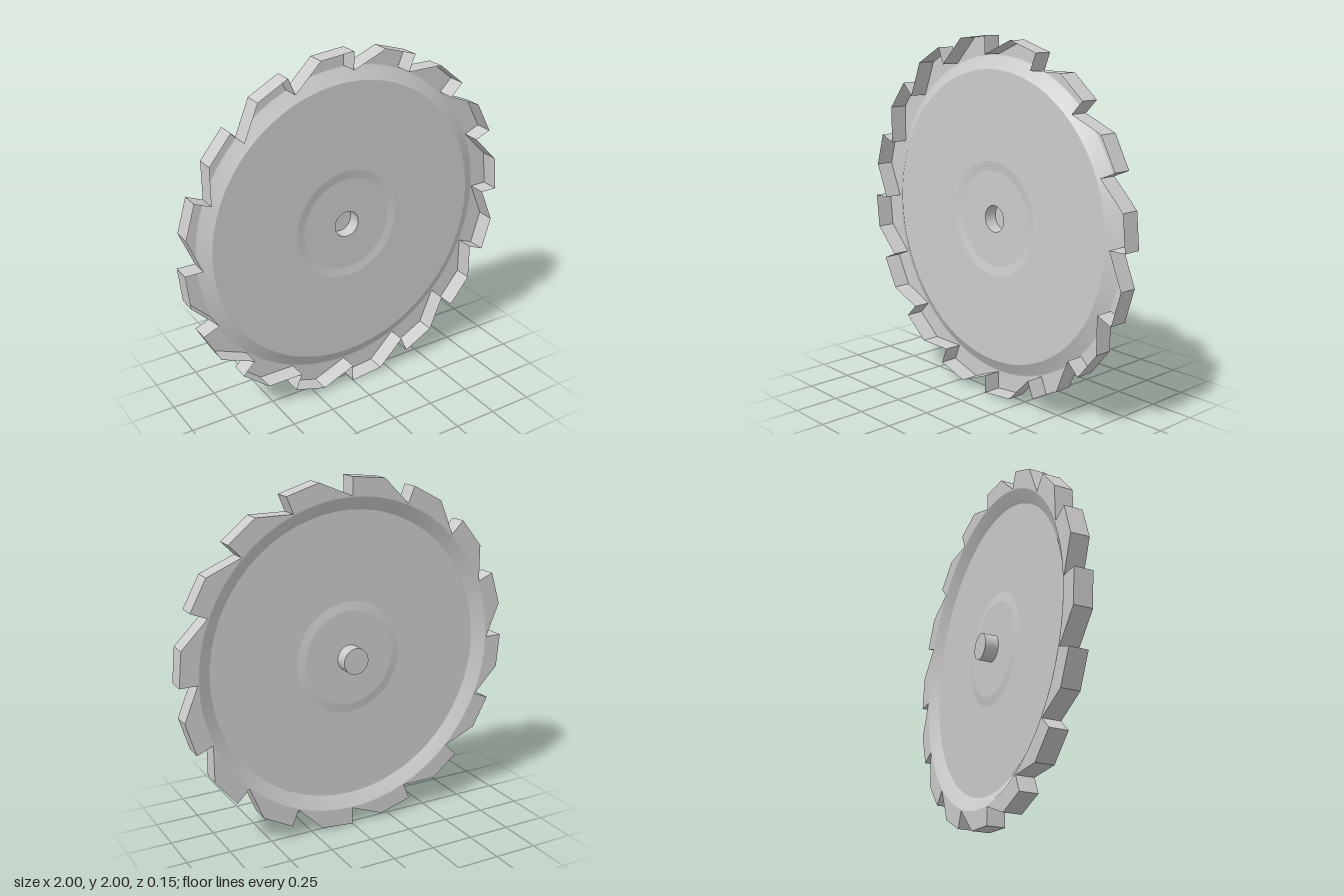
import * as THREE from 'three';

const TEETH = 16;
const TIP = 1, GULLET = 0.9, RIM_INNER = 0.898;
const BACK = -0.031, FRONT = 0.073, PIN_END = -0.074;
const WEB = 0.011, HUB = 0.003;

export function createModel() {
  const root = new THREE.Group();
  root.name = 'circularBlade';
  const blade = new THREE.Group();
  blade.name = 'blade';
  blade.position.y = 1;
  root.add(blade);

  const material = new THREE.MeshStandardMaterial({ color: 0xcccccc, side: THREE.DoubleSide });
  const add = (name, geometry) => {
    const mesh = new THREE.Mesh(geometry, material);
    mesh.name = name;
    blade.add(mesh);
  };

  // Tooth outline: a radial cutting face and a two-segment back per tooth
  const outline = [];
  const step = (Math.PI * 2) / TEETH;
  const polar = (r, a) => new THREE.Vector2(r * Math.cos(a), r * Math.sin(a));
  for (let i = 0; i < TEETH; i++) {
    const a = i * step;
    outline.push(polar(GULLET, a), polar(TIP, a), polar(TIP, a + step / 2));
  }

  // Thin rim sheet at the back of the teeth
  const rimShape = new THREE.Shape(outline);
  const opening = new THREE.Path();
  opening.absarc(0, 0, RIM_INNER, 0, Math.PI * 2, true);
  rimShape.holes.push(opening);
  const rim = new THREE.ShapeGeometry(rimShape, 32);
  rim.translate(0, 0, BACK);
  add('rimSheet', rim);

  // Walls standing forward along the outline, open at the front
  const corners = [];
  outline.forEach((a, i) => {
    const b = outline[(i + 1) % outline.length];
    corners.push(
      a.x, a.y, BACK, b.x, b.y, BACK, b.x, b.y, FRONT,
      a.x, a.y, BACK, b.x, b.y, FRONT, a.x, a.y, FRONT,
    );
  });
  const walls = new THREE.BufferGeometry();
  walls.setAttribute('position', new THREE.Float32BufferAttribute(corners, 3));
  walls.computeVertexNormals();
  add('toothWalls', walls);

  // Pressed sheet inside the rim: [radius, z] sections, sharp between parts
  const sections = {
    pinCap: [[0, PIN_END], [0.075, PIN_END]],
    pinWall: [[0.075, PIN_END], [0.075, HUB]],
    hubFace: [[0.075, HUB], [0.27, HUB]],
    hubStep: [[0.27, HUB], [0.32, WEB]],
    web: [[0.32, WEB], [0.82, WEB]],
    rimSlope: [[0.82, WEB], [0.89, BACK], [RIM_INNER, BACK]],
  };
  for (const [name, points] of Object.entries(sections)) {
    const profile = points.map(([r, z]) => new THREE.Vector2(r, z));
    add(name, new THREE.LatheGeometry(profile, 64).rotateX(Math.PI / 2));
  }

  return root;
}
